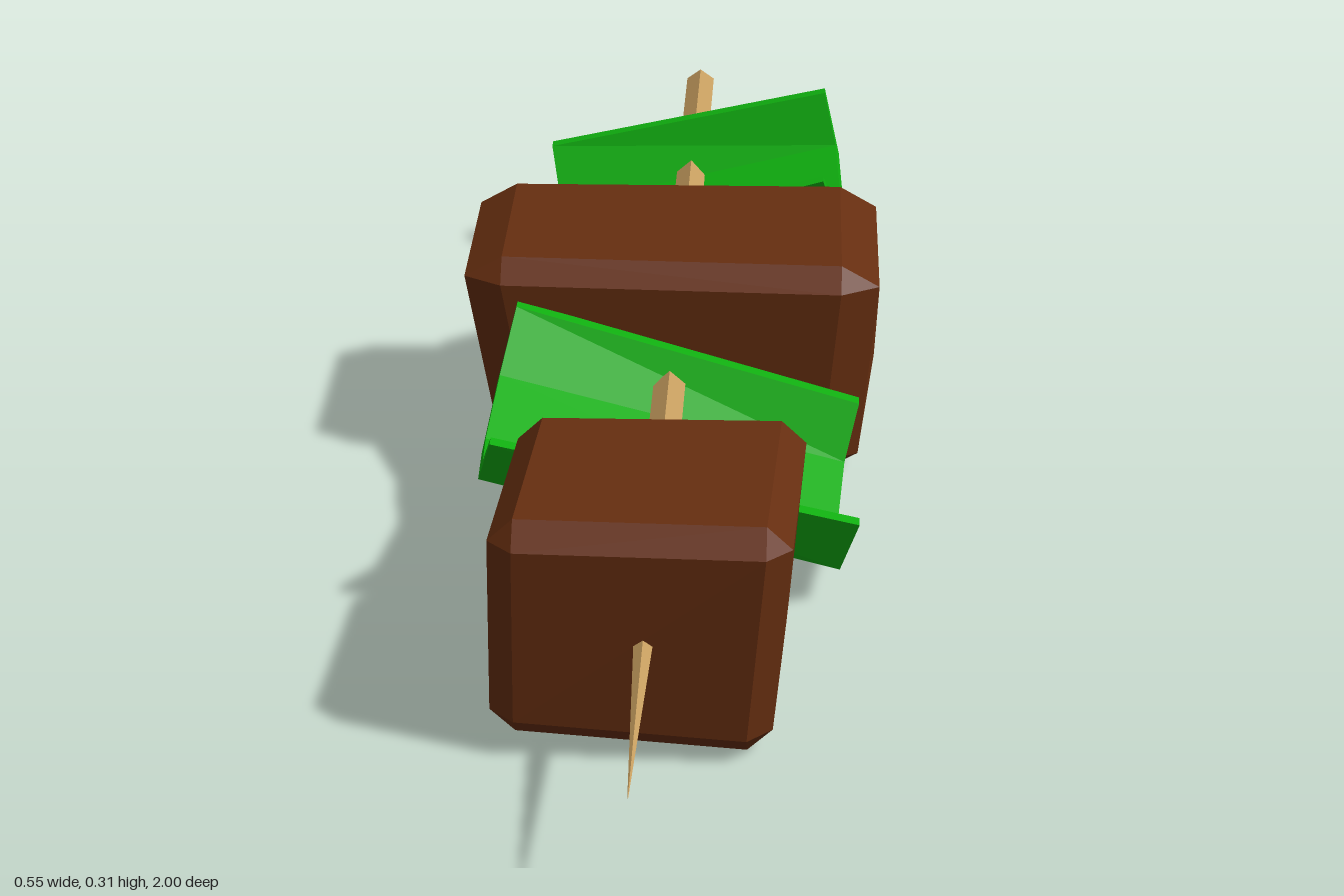
import * as THREE from 'three';
import { ConvexGeometry } from 'three/addons/geometries/ConvexGeometry.js';

const material = (name, color) => {
  const m = new THREE.MeshStandardMaterial({ color });
  m.name = name;
  return m;
};

// Bevelled block from eight corners, indexed x + 2y + 4z (0 = low side, 1 = high side)
function bevelledBlock(corners, bevel) {
  const points = [];
  corners.forEach((c, i) => {
    const inward = [i & 1 ? -1 : 1, i & 2 ? -1 : 1, i & 4 ? -1 : 1];
    for (let face = 0; face < 3; face++) {
      const p = c.map((v, k) => (k === face ? v : v + inward[k] * bevel[k]));
      points.push(new THREE.Vector3(...p));
    }
  });
  return new ConvexGeometry(points);
}

// Folded pepper piece: a trough along x, wider at its -x end
function pepperPiece(length) {
  const section = (x, rim) => {
    const outer = [[0.195 * rim, 0.125], [0.13, 0.035], [0, 0], [-0.13, 0.035], [-0.195 * rim, 0.125]];
    const inner = [[0.195 * rim - 0.018, 0.125], [0.115, 0.055], [0, 0.022], [-0.115, 0.055], [-0.195 * rim + 0.018, 0.125]];
    const place = ([z, y]) => [x, y, z];
    return { o: outer.map(place), i: inner.map(place) };
  };
  const L = section(-length / 2, 1.02);
  const R = section(length / 2, 0.87);
  const pos = [];
  const quad = (a, b, c, d) => pos.push(...a, ...b, ...c, ...a, ...c, ...d);
  for (let k = 0; k < 4; k++) {
    const n = k + 1;
    quad(L.o[k], L.o[n], R.o[n], R.o[k]); // outside
    quad(R.i[k], R.i[n], L.i[n], L.i[k]); // inside
    quad(R.o[k], R.o[n], R.i[n], R.i[k]); // right end
    quad(L.i[k], L.i[n], L.o[n], L.o[k]); // left end
  }
  quad(L.o[0], R.o[0], R.i[0], L.i[0]); // rims
  quad(L.i[4], R.i[4], R.o[4], L.o[4]);
  const g = new THREE.BufferGeometry();
  g.setAttribute('position', new THREE.Float32BufferAttribute(pos, 3));
  g.computeVertexNormals();
  return g;
}

// Five-sided rod along z with flat faces
function rod(backRadius, frontRadius, z0, z1) {
  const g = new THREE.CylinderGeometry(frontRadius, backRadius, z1 - z0, 5, 1, false, Math.PI)
    .rotateX(Math.PI / 2)
    .translate(0, 0.155, (z0 + z1) / 2)
    .toNonIndexed();
  g.computeVertexNormals();
  return g;
}

export function createModel() {
  const model = new THREE.Group();
  model.name = 'skewer';
  const meat = material('meat brown', 0x662e10);
  const pepper = material('pepper green', 0x10b010);
  const wood = material('stick wood', 0xc49c5e);
  const add = (name, geometry, mat) => {
    const mesh = new THREE.Mesh(geometry, mat);
    mesh.name = name;
    model.add(mesh);
    return mesh;
  };

  // Stick with a sharpened front
  add('stick', rod(0.022, 0.022, -1, 0.42), wood);
  add('stickPoint', rod(0.022, 0.0005, 0.42, 1), wood);

  // Meat chunks
  add('frontMeat', bevelledBlock([
    [-0.165, 0.0, 0.395], [0.162, 0.0, 0.395], [-0.165, 0.305, 0.395], [0.182, 0.305, 0.39],
    [-0.182, 0.02, 0.697], [0.15, 0.003, 0.7], [-0.18, 0.305, 0.697], [0.17, 0.305, 0.702],
  ], [0.03, 0.029, 0.028]), meat);
  add('backMeat', bevelledBlock([
    [-0.232, 0.0, -0.288], [0.273, 0.02, -0.296], [-0.275, 0.305, -0.288], [0.27, 0.305, -0.298],
    [-0.232, 0.0, 0.008], [0.25, 0.0, 0.015], [-0.275, 0.305, 0.003], [0.273, 0.305, 0.012],
  ], [0.05, 0.029, 0.028]), meat);

  // Pepper pieces, tilted opposite ways
  const tilt = 0.255;
  const front = add('frontPepper', pepperPiece(0.467), pepper);
  front.position.set(-0.008, 0.074, 0.2);
  front.rotation.z = -tilt;
  const back = add('backPepper', pepperPiece(0.422), pepper);
  back.position.set(0.024, 0.107, -0.51);
  back.rotation.z = tilt;

  return model;
}
